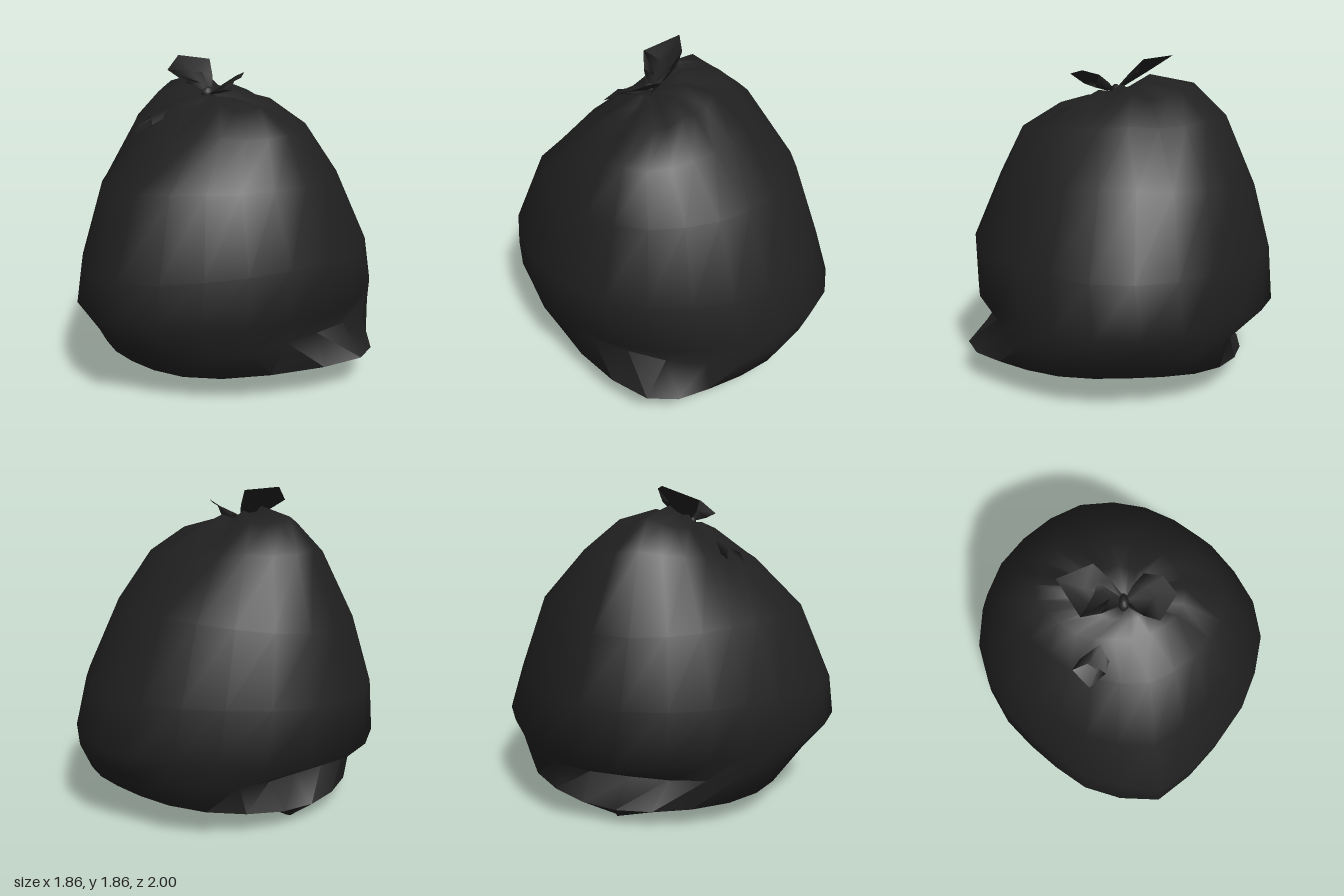
import * as THREE from 'three';
import { toCreasedNormals } from 'three/addons/utils/BufferGeometryUtils.js';

// Skins a list of closed rings (arrays of [x, y, z]) from bottom to top.
function loft(rings, capped) {
  const n = rings[0].length, pos = rings.flat(2), idx = [];
  for (let i = 0; i < rings.length - 1; i++) {
    for (let j = 0; j < n; j++) {
      const a = i * n + j, b = i * n + (j + 1) % n;
      idx.push(a, a + n, b, b, a + n, b + n);
    }
  }
  if (capped) {
    const last = (rings.length - 1) * n;
    for (let j = 1; j < n - 1; j++) {
      idx.push(0, j, j + 1, last, last + j + 1, last + j);
    }
  }
  const g = new THREE.BufferGeometry();
  g.setAttribute('position', new THREE.Float32BufferAttribute(pos, 3));
  g.setIndex(idx);
  g.computeVertexNormals();
  return g;
}

// Each row: left x, y, right x, y, front z, y, back z, y, pleat depth,
// share of the uneven outline, fullness of the diagonals, back right bulge
const ROWS = [
  [0.60, 0.03, -0.62, 0.00, -0.06, 0.02, -0.14, 0.02, 0, 0, 0, 0],
  [0.73, 0.16, -0.69, 0.11, 0.73, 0.14, -0.85, 0.20, 0, 0, 0.06, 0],
  [0.80, 0.33, -0.74, 0.27, 0.87, 0.31, -0.93, 0.34, 0, 0.5, 0.05, 0],
  [0.88, 0.48, -0.93, 0.41, 1.01, 0.48, -1.00, 0.47, 0, 1, 0, 0],
  [0.89, 0.78, -0.90, 0.73, 0.98, 0.70, -0.90, 0.74, 0, 1, 0, 0.03],
  [0.72, 1.17, -0.78, 1.10, 0.80, 1.15, -0.70, 1.19, 0, 0.9, 0, 0.1],
  [0.58, 1.44, -0.61, 1.52, 0.52, 1.43, -0.43, 1.49, 0.008, 0.7, 0, 0.12],
  [0.35, 1.57, -0.45, 1.68, 0.32, 1.57, -0.24, 1.63, 0.018, 0, 0, 0.05],
  [0.18, 1.61, -0.19, 1.73, 0.22, 1.62, -0.06, 1.68, 0.018, 0, 0, 0],
  [0.06, 1.63, -0.02, 1.64, 0.16, 1.64, 0.10, 1.65, 0, 0, 0, 0],
];

// Bottom corners pulled out or tucked in: row -> x, y, z shift for each side
const CORNERS = {
  1: { left: [0.93, 0.18, -0.16], right: [-0.75, 0.10, 0] },
  2: { left: [0.76, 0.33, 0], right: [-0.59, 0.24, 0] },
};

// Uneven plan outline, one factor every 15 degrees from left towards front
const OUTLINE = [
  1, 0.97, 0.96, 0.955, 0.98, 1.03, 0.98, 0.94, 0.895, 0.89, 0.925, 0.966,
  1, 1.01, 0.975, 0.94, 0.95, 0.99, 1, 1, 0.985, 0.985, 0.98, 1,
];

function bodyRing([xl, yl, xr, yr, zf, yf, zb, yb, pleat, uneven, full, bulge], row) {
  return OUTLINE.map((factor, j) => {
    const t = (j / OUTLINE.length) * Math.PI * 2, c = Math.cos(t), s = Math.sin(t);
    const f = 1 + (factor - 1) * uneven + full * Math.sin(2 * t) ** 2
      + bulge * Math.max(0, Math.cos(t - Math.PI * 1.25)) ** 4;
    const p = [
      (xl + xr) / 2 + (xl - xr) / 2 * c * f,
      c * c * (c > 0 ? yl : yr) + s * s * (s > 0 ? yf : yb) + pleat * Math.cos(8 * t),
      (zf + zb) / 2 + (zf - zb) / 2 * s * f,
    ];
    if (CORNERS[row]) {
      const [x, y, shift] = CORNERS[row][c > 0 ? 'left' : 'right'], w = c ** 8;
      p[0] += (x - (c > 0 ? xl : xr)) * w;
      p[1] += (y - (c > 0 ? yl : yr)) * w;
      p[2] += shift * w;
    }
    return p;
  });
}

// Open gathered funnel spreading from a pinched root to a loose rim
function funnel(root, rim) {
  const centre = [0, 1, 2].map(k => rim.reduce((sum, p) => sum + p[k], 0) / rim.length);
  const ring = (along, size) => rim.map(p => p.map((v, k) =>
    root[k] + (centre[k] - root[k]) * along + (v - centre[k]) * size));
  return loft([ring(0, 0.15), ring(0.5, 0.65), rim], false);
}

export function createModel() {
  const model = new THREE.Group();
  const plastic = new THREE.MeshStandardMaterial({ color: 0x202020, side: THREE.DoubleSide });
  plastic.name = 'black plastic';
  const add = (name, geometry) => {
    const mesh = new THREE.Mesh(geometry, plastic);
    mesh.name = name;
    model.add(mesh);
    return mesh;
  };

  // Filled sack with folded bottom corners and pleats under the tie
  add('sackBody', toCreasedNormals(loft(ROWS.map(bodyRing), true), 1.4));

  // Tie: knot and two loose ends
  const knot = add('knot', new THREE.SphereGeometry(0.038, 10, 8));
  knot.scale.set(0.8, 1.1, 1.3);
  knot.position.set(0.012, 1.645, 0.13);

  add('rightTieEnd', funnel([0.01, 1.65, 0.12],
    [[-0.33, 1.86, 0.08], [-0.21, 1.78, 0.26], [-0.14, 1.77, 0.13], [-0.11, 1.76, 0.01], [-0.14, 1.84, -0.01]]));
  add('leftTieEnd', funnel([0.03, 1.65, 0.13],
    [[0.29, 1.75, 0.13], [0.22, 1.775, 0.04], [0.12, 1.75, 0.01], [0.14, 1.67, 0.07], [0.2, 1.68, 0.25]]));

  // Gathered fold hanging at the front of the neck
  add('frontFold', funnel([-0.01, 1.63, 0.17],
    [[-0.27, 1.46, 0.44], [-0.18, 1.42, 0.53], [-0.09, 1.48, 0.47], [-0.17, 1.52, 0.42]]));

  return model;
}
